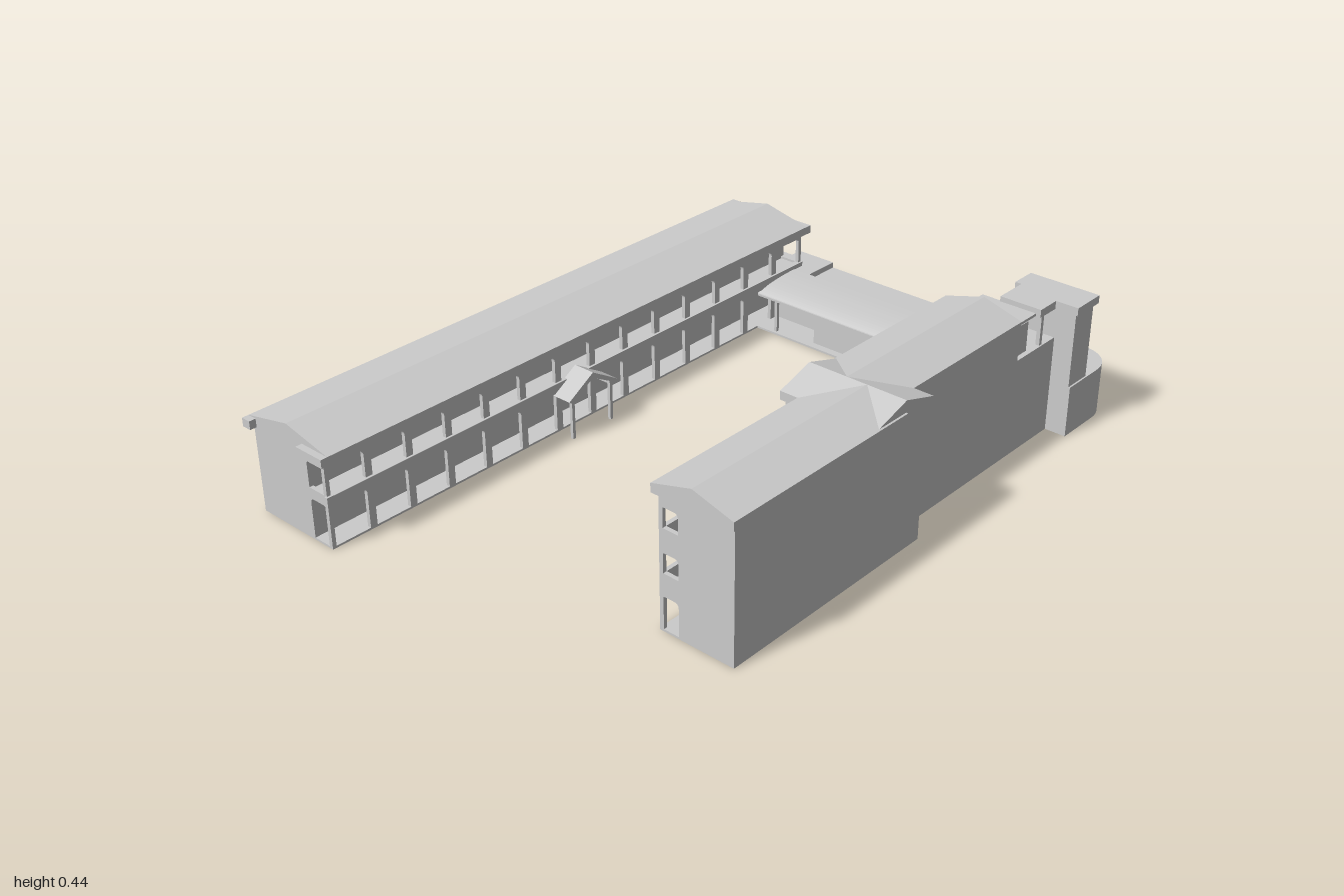
import * as THREE from 'three';

const mat = new THREE.MeshStandardMaterial({ color: 0xcccccc, flatShading: true });

export function createModel() {
  const root = new THREE.Group();

  const add = (parent, name, geometry) => {
    const mesh = new THREE.Mesh(geometry, mat);
    mesh.name = name;
    parent.add(mesh);
    return mesh;
  };
  const group = (name) => {
    const g = new THREE.Group();
    g.name = name;
    root.add(g);
    return g;
  };
  // Box given by its limits on each axis
  const box = (parent, name, x0, x1, y0, y1, z0, z1) => {
    const m = add(parent, name, new THREE.BoxGeometry(x1 - x0, y1 - y0, z1 - z0));
    m.position.set((x0 + x1) / 2, (y0 + y1) / 2, (z0 + z1) / 2);
    return m;
  };
  const polygon = (points) => new THREE.Shape(points.map(([a, b]) => new THREE.Vector2(a, b)));
  const extrude = (shape, depth) =>
    new THREE.ExtrudeGeometry(shape, { depth, bevelEnabled: false, curveSegments: 8 });

  // Solid pitched roof: eave band with two slopes, ridge along z
  const roofZ = (parent, name, x0, x1, y0, y1, y2, z0, z1) => {
    const s = polygon([[x0, y0], [x1, y0], [x1, y1], [(x0 + x1) / 2, y2], [x0, y1]]);
    return add(parent, name, extrude(s, z1 - z0).translate(0, 0, z0));
  };
  // The same with its ridge along x
  const roofX = (parent, name, z0, z1, y0, y1, y2, x0, x1) => {
    const s = polygon([[z0, y0], [z1, y0], [z1, y1], [(z0 + z1) / 2, y2], [z0, y1]]);
    return add(parent, name, extrude(s, x1 - x0).rotateY(-Math.PI / 2).translate(x1, 0, 0));
  };

  // Opening with rounded top corners
  const opening = (a0, a1, y0, y1, r = 0.015) => {
    const h = new THREE.Path();
    h.moveTo(a0, y0);
    h.lineTo(a1, y0);
    h.lineTo(a1, y1 - r);
    h.quadraticCurveTo(a1, y1, a1 - r, y1);
    h.lineTo(a0 + r, y1);
    h.quadraticCurveTo(a0, y1, a0, y1 - r);
    h.lineTo(a0, y0);
    return h;
  };
  // Wall pierced by bays on every storey
  const piercedWall = (a0, a1, top, bays, levels, pier, depth) => {
    const s = polygon([[a0, 0], [a1, 0], [a1, top], [a0, top]]);
    const pitch = (a1 - a0) / bays;
    for (let i = 0; i < bays; i++)
      for (const [y0, y1] of levels)
        s.holes.push(opening(a0 + i * pitch + pier, a0 + (i + 1) * pitch - pier, y0, y1));
    return extrude(s, depth);
  };
  const arcade = (parent, name, x, z0, z1, top, bays, levels) =>
    add(parent, name, piercedWall(z0, z1, top, bays, levels, 0.011, 0.012)
      .rotateY(-Math.PI / 2).translate(x + 0.012, 0, 0));
  const galleryEnd = (parent, name, x0, x1, z, top, levels) =>
    add(parent, name, piercedWall(x0, x1, top, 1, levels, 0.006, 0.012).translate(0, 0, z));

  // Long two-storey building
  const long = group('longBuilding');
  const twoLevels = [[0.006, 0.125], [0.157, 0.238]];
  box(long, 'longCore', -0.68, -0.47, 0, 0.27, -0.9, 0.98);
  box(long, 'longGroundFloor', -0.47, -0.40, 0, 0.006, -0.9, 0.98);
  box(long, 'longUpperFloor', -0.47, -0.402, 0.128, 0.15, -0.9, 0.98);
  arcade(long, 'longArcade', -0.412, -0.9, 0.98, 0.26, 14, twoLevels);
  for (const z of [-0.9, 0.968])
    galleryEnd(long, 'longGalleryEnd', -0.476, -0.4, z, 0.26, twoLevels);
  roofZ(long, 'longRoof', -0.70, -0.38, 0.255, 0.28, 0.315, -0.9, 0.98);
  for (const z of [-0.92, 0.98]) {
    box(long, 'outerEaveEnd', -0.70, -0.67, 0.255, 0.28, z, z + 0.02);
    box(long, 'innerEaveEnd', -0.48, -0.38, 0.255, 0.28, z, z + 0.02);
  }
  // String course on the outer face and balcony edge
  box(long, 'longBalconyBand', -0.405, -0.393, 0.128, 0.157, -0.9, 0.985);

  // Gabled porch in front of the arcade
  const porch = group('porch');
  const pitch = polygon([[0.01, 0.125], [0.02, 0.118], [0.105, 0.165],
    [0.19, 0.118], [0.2, 0.125], [0.105, 0.182]]);
  add(porch, 'porchRoof', extrude(pitch, 0.07).rotateY(-Math.PI / 2).translate(-0.333, 0, 0));
  for (const z of [0.03, 0.18]) {
    box(porch, 'porchPost', -0.348, -0.338, 0, 0.128, z - 0.005, z + 0.005);
    box(porch, 'porchBeam', -0.4, -0.338, 0.115, 0.128, z - 0.005, z + 0.005);
  }

  // Low rear connector with a curved front roof
  const link = group('connector');
  box(link, 'connectorFloor', -0.4, 0.4, 0, 0.006, -0.985, -0.69);
  const curve = new THREE.Shape();
  curve.moveTo(-0.86, 0.112);
  curve.lineTo(-0.69, 0.112);
  curve.lineTo(-0.69, 0.118);
  curve.absellipse(-0.86, 0.118, 0.17, 0.027, 0, Math.PI / 2, false);
  curve.lineTo(-0.86, 0.112);
  const curved = extrude(curve, 0.79).rotateY(-Math.PI / 2).translate(0.39, 0, 0);
  add(link, 'curvedRoof', curved);
  box(link, 'flatRoof', -0.4, 0.39, 0.11, 0.125, -0.985, -0.86);
  box(link, 'frontWall', -0.19, 0.17, 0, 0.113, -0.73, -0.715);
  box(link, 'sideFrontWall', -0.4, -0.19, 0, 0.095, -0.8, -0.785);
  box(link, 'innerWall', 0.17, 0.27, 0, 0.113, -0.82, -0.805);
  box(link, 'partition', 0.165, 0.175, 0, 0.113, -0.82, -0.715);
  box(link, 'partition', -0.195, -0.185, 0, 0.113, -0.8, -0.715);
  box(link, 'backWall', -0.4, 0.27, 0, 0.113, -0.985, -0.97);
  box(link, 'lowBackWall', 0.27, 0.4, 0, 0.073, -0.985, -0.97);
  for (const x of [-0.335, 0.28, 0.34])
    box(link, 'connectorPost', x - 0.005, x + 0.005, 0, 0.113, -0.71, -0.70);
  box(link, 'cornerBlock', -0.68, -0.47, 0, 0.12, -0.985, -0.9);
  box(link, 'cornerLowWall', -0.47, -0.4, 0, 0.09, -0.985, -0.9);
  box(link, 'cornerCanopy', -0.47, -0.335, 0.125, 0.143, -0.985, -0.86);
  box(link, 'endCanopy', 0.27, 0.385, 0.125, 0.143, -0.985, -0.86);

  // Three-storey wing in two staggered halves
  const wing = group('wing');
  const threeLevels = [[0.006, 0.1], [0.165, 0.222], [0.29, 0.347]];
  box(wing, 'southCore', 0.51, 0.68, 0, 0.39, -0.04, 0.68);
  box(wing, 'northCore', 0.455, 0.62, 0, 0.39, -0.555, 0.15);
  box(wing, 'lowNorthCore', 0.455, 0.62, 0, 0.29, -0.74, -0.555);
  arcade(wing, 'southArcade', 0.45, 0.15, 0.68, 0.39, 4, threeLevels);
  arcade(wing, 'northArcade', 0.39, -0.555, 0.15, 0.39, 5, threeLevels);
  galleryEnd(wing, 'southGalleryEnd', 0.45, 0.516, 0.668, 0.39, threeLevels);
  galleryEnd(wing, 'northGalleryEnd', 0.39, 0.46, 0.138, 0.39, threeLevels);
  galleryEnd(wing, 'northGalleryEnd', 0.39, 0.46, -0.555, 0.39, threeLevels);
  for (const y of [0, 0.11, 0.235]) {
    const h = y ? 0.02 : 0.006;
    box(wing, 'southGalleryFloor', 0.455, 0.512, y, y + h, 0.15, 0.675);
    box(wing, 'northGalleryFloor', 0.395, 0.457, y, y + h, -0.55, 0.145);
  }
  roofZ(wing, 'southRoof', 0.435, 0.685, 0.38, 0.405, 0.44, 0.045, 0.69);
  roofZ(wing, 'northRoof', 0.375, 0.62, 0.38, 0.405, 0.44, -0.56, 0.045);
  roofX(wing, 'crossRoof', -0.07, 0.16, 0.38, 0.405, 0.44, 0.38, 0.68);

  // Flat entrance canopy on the courtyard side
  box(wing, 'entranceCanopy', 0.323, 0.39, 0.11, 0.125, -0.05, 0.14);
  for (const z of [-0.04, 0.13])
    box(wing, 'entrancePost', 0.333, 0.343, 0, 0.11, z - 0.005, z + 0.005);

  // Stair tower, its cap and the rounded corner room
  const tower = group('stairTower');
  box(tower, 'towerShaft', 0.48, 0.68, 0, 0.385, -0.83, -0.74);
  const cap = polygon([[0.47, 0.84], [0.47, 0.76], [0.49, 0.76], [0.49, 0.655],
    [0.62, 0.655], [0.62, 0.73], [0.69, 0.73], [0.69, 0.84]]);
  add(tower, 'towerCap', extrude(cap, 0.024).rotateX(-Math.PI / 2).translate(0, 0.381, 0));
  box(tower, 'stairHead', 0.46, 0.605, 0.285, 0.38, -0.62, -0.555);
  box(tower, 'stairHeadSlab', 0.43, 0.605, 0.382, 0.39, -0.66, -0.555);
  for (const x of [0.5, 0.61])
    box(tower, 'capPost', x - 0.006, x + 0.006, 0.285, 0.385, -0.681, -0.669);
  box(tower, 'landingSlab', 0.38, 0.49, 0.265, 0.288, -0.84, -0.76);

  const corner = new THREE.Shape();
  corner.moveTo(0.48, 0.74);
  corner.lineTo(0.685, 0.74);
  corner.lineTo(0.685, 0.885);
  corner.absarc(0.585, 0.885, 0.1, 0, Math.PI / 2, false);
  corner.lineTo(0.39, 0.985);
  corner.lineTo(0.39, 0.84);
  corner.lineTo(0.48, 0.84);
  add(tower, 'roundedCorner', extrude(corner, 0.155).rotateX(-Math.PI / 2));
  box(tower, 'rearCanopy', 0.38, 0.505, 0.135, 0.167, -1.0, -0.84);

  return root;
}
